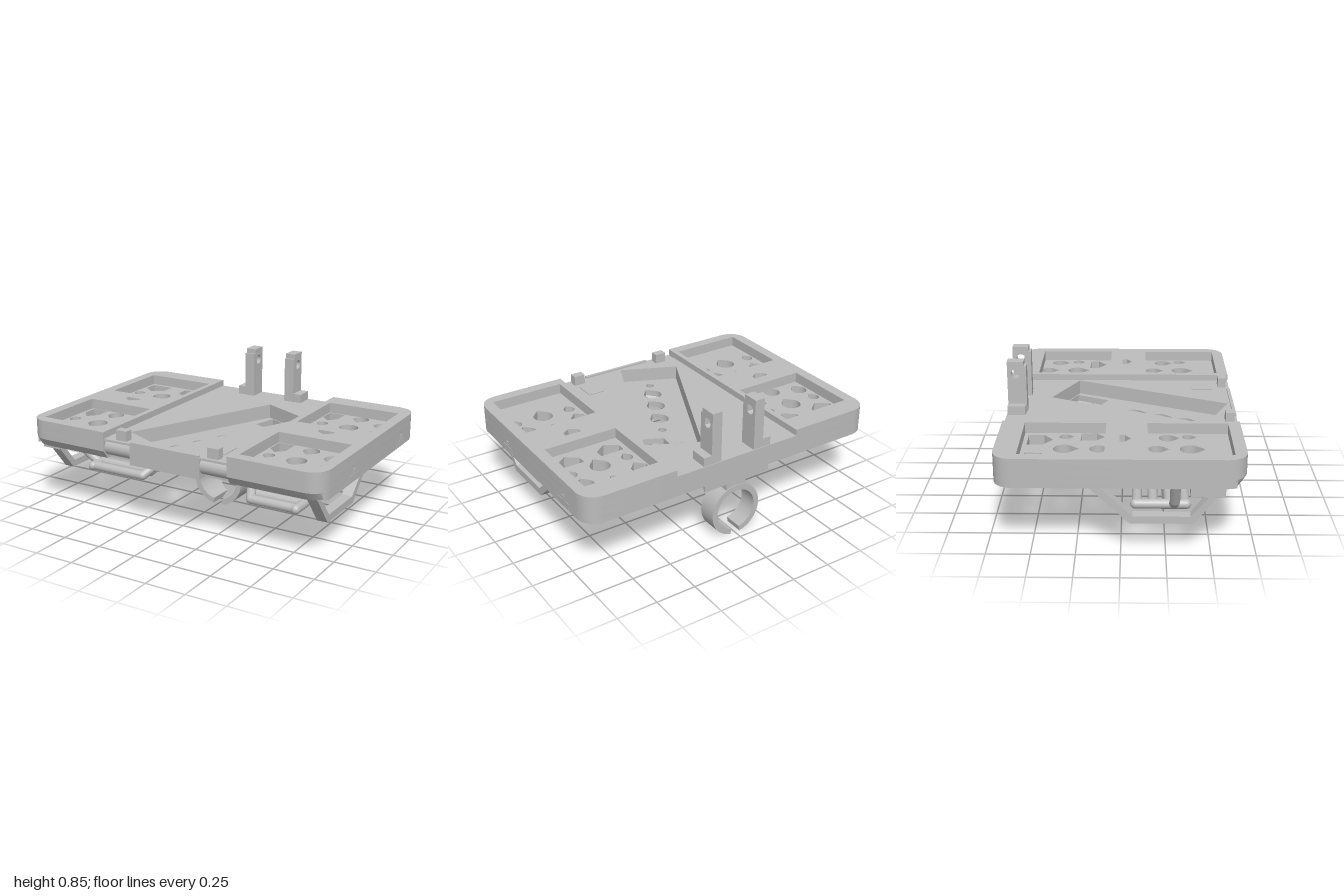
import * as THREE from 'three';
import { toCreasedNormals } from 'three/addons/utils/BufferGeometryUtils.js';

const grey = new THREE.MeshStandardMaterial({ color: 0xbcbcbc });
grey.name = 'plain grey';

export function createModel() {
  const root = new THREE.Group();

  const add = (name, geo) => {
    const m = new THREE.Mesh(geo, grey);
    m.name = name;
    root.add(m);
  };
  const box = (name, x0, x1, y0, y1, z0, z1) =>
    add(name, new THREE.BoxGeometry(x1 - x0, y1 - y0, z1 - z0)
      .translate((x0 + x1) / 2, (y0 + y1) / 2, (z0 + z1) / 2));

  // Plan outlines are given as (x, z) pairs
  const outline = (pts) => pts.map(([x, z]) => new THREE.Vector2(x, -z));
  const poly = (pts) => new THREE.Path(outline(pts));
  const rect = (x0, x1, z0, z1) => poly([[x0, z0], [x1, z0], [x1, z1], [x0, z1]]);
  const pentagon = (x0, x1, z0, z1, tip) =>
    poly([[x0, z0], [x1, z0], [x1, z1], [(x0 + x1) / 2, tip], [x0, z1]]);
  // Round hole with a pointed front
  const drop = (x, z, r) => {
    const pts = [[x, z + r * 1.42]];
    for (let i = 0; i <= 18; i++) {
      const a = Math.PI / 4 - (i / 18) * Math.PI * 1.5;
      pts.push([x + r * Math.cos(a), z + r * Math.sin(a)]);
    }
    return poly(pts);
  };
  // Flat layer with holes; the lower front edge can be cut back by chamfer
  const slab = (name, shape, holes, y0, y1, chamfer = 0) => {
    const pts = shape.getPoints(10);
    if (THREE.ShapeUtils.isClockWise(pts)) pts.reverse();
    const solid = new THREE.Shape(pts);
    solid.holes = holes;
    const g = new THREE.ExtrudeGeometry(solid, { depth: y1 - y0, bevelEnabled: false });
    g.rotateX(-Math.PI / 2).translate(0, y0, 0);
    const p = g.attributes.position;
    for (let i = 0; i < p.count; i++)
      if (p.getY(i) < y0 + 0.001 && p.getZ(i) > 0.64) p.setZ(i, p.getZ(i) - chamfer);
    g.computeVertexNormals();
    add(name, toCreasedNormals(g, 0.5));
  };

  // Side wings: pierced floor below, frame with two pockets above
  const wing = (s, inner) => {
    const c = 0.11;
    const sh = new THREE.Shape();
    sh.moveTo(s * inner, 0.70);
    sh.lineTo(s * (1 - c), 0.70);
    sh.quadraticCurveTo(s * 0.99, 0.69, s, 0.70 - c);
    sh.lineTo(s, -0.69 + c);
    sh.quadraticCurveTo(s * 0.99, -0.68, s * (1 - c), -0.69);
    sh.lineTo(s * inner, -0.69);
    return sh;
  };
  const slot = (s) => pentagon(s * 0.70 - 0.05, s * 0.70 + 0.05, -0.01, 0.02, 0.055);
  const common = (s) => [slot(s),
    drop(s * 0.70, -0.325, 0.06), drop(s * 0.52, -0.325, 0.035), drop(s * 0.885, -0.325, 0.035),
    drop(s * 0.70, 0.20, 0.05), drop(s * 0.70, 0.39, 0.06),
    drop(s * 0.52, 0.385, 0.035), drop(s * 0.885, 0.385, 0.035)];
  const leftHoles = [...common(1),
    pentagon(0.468, 0.57, -0.555, -0.45, -0.395), drop(0.70, -0.52, 0.05), drop(0.865, -0.455, 0.05),
    pentagon(0.49, 0.64, -0.235, -0.18, -0.125), pentagon(0.755, 0.90, -0.235, -0.18, -0.125),
    pentagon(0.468, 0.57, 0.155, 0.27, 0.32), drop(0.865, 0.265, 0.05)];
  const rightHoles = [...common(-1),
    pentagon(-0.91, -0.76, -0.54, -0.45, -0.395), pentagon(-0.64, -0.495, -0.54, -0.45, -0.395),
    drop(-0.87, -0.195, 0.05), drop(-0.70, -0.13, 0.05),
    pentagon(-0.575, -0.47, -0.235, -0.145, -0.095),
    pentagon(-0.91, -0.80, 0.155, 0.25, 0.31), drop(-0.535, 0.265, 0.05)];
  for (const [s, inner, name, holes] of [[1, 0.42, 'left', leftHoles], [-1, 0.43, 'right', rightHoles]]) {
    const a = s > 0 ? 0.46 : -0.93, b = s > 0 ? 0.93 : -0.465;
    slab(name + 'WingUnderside', wing(s, inner), holes, 0.405, 0.455, 0.035);
    slab(name + 'WingFloor', wing(s, inner), holes, 0.455, 0.51);
    slab(name + 'WingFrame', wing(s, inner),
      [rect(a, b, -0.565, -0.09), rect(a, b, 0.15, 0.62), slot(s)], 0.51, 0.575);
  }

  // Lower centre deck with the slanted pocket
  const deck = new THREE.Shape(outline([[-0.43, -0.70], [0.42, -0.70], [0.42, 0.63],
    [0.24, 0.63], [0.24, 0.69], [-0.24, 0.69], [-0.24, 0.63], [-0.43, 0.63]]));
  slab('centreFloor', deck, [
    poly([[0.115, -0.425], [0.375, -0.30], [0.277, -0.10], [0.16, -0.155], [0.165, -0.235], [0.07, -0.275]]),
    drop(0.11, -0.065, 0.025), drop(0.045, 0.07, 0.058), drop(-0.03, 0.23, 0.058),
    drop(-0.10, 0.38, 0.058), drop(-0.155, 0.50, 0.025)], 0.405, 0.445);
  slab('centreDeck', deck, [poly([[0.08, -0.45], [0.41, -0.29], [-0.02, 0.655], [-0.365, 0.50]])], 0.445, 0.535);
  box('deckPlate', 0.235, 0.34, 0.535, 0.54, 0.44, 0.575);
  box('frontLip', -0.235, 0.235, 0.535, 0.545, 0.67, 0.69);

  // Rounded front edges under thin covers, with catches, beside the middle block
  for (const s of [-1, 1]) {
    add('frontRoll', new THREE.CylinderGeometry(0.052, 0.052, 0.19, 20)
      .rotateZ(Math.PI / 2).translate(s * 0.33, 0.477, 0.635));
    box('frontCover', s * 0.33 - 0.095, s * 0.33 + 0.095, 0.522, 0.535, 0.62, 0.688);
    box('catch', s * 0.315 - 0.037, s * 0.315 + 0.037, 0.50, 0.597, 0.615, 0.667);
  }

  // Rear posts with a cross hole and a low shoulder
  for (const s of [-1, 1]) {
    const sh = new THREE.Shape([[0.58, 0.52], [0.695, 0.52], [0.695, 0.855], [0.595, 0.855],
      [0.595, 0.825], [0.58, 0.825]].map((p) => new THREE.Vector2(...p)));
    const hole = new THREE.Path();
    hole.moveTo(0.601, 0.778);
    hole.absarc(0.643, 0.778, 0.03, Math.PI * 0.75, -Math.PI * 0.75, true);
    sh.holes = [hole];
    const g = new THREE.ExtrudeGeometry(sh, { depth: 0.066, bevelEnabled: false });
    g.rotateY(Math.PI / 2).translate(s * 0.149 - 0.033, 0, 0);
    add('rearPost', toCreasedNormals(g, 0.5));
    box('postShoulder', s * 0.208 - 0.028, s * 0.208 + 0.028, 0.52, 0.59, -0.695, -0.585);
  }

  // Ring sections, symmetric about x = 0 and starting at angle a0; the rear cut may slant
  const ring = (name, a0, zFront, zBack) => {
    const a1 = Math.PI - a0;
    const sh = new THREE.Shape();
    sh.absarc(0, 0, 0.167, a0, a1, false);
    sh.absarc(0, 0, 0.132, a1, a0, true);
    const g = new THREE.ExtrudeGeometry(sh, { depth: 1, bevelEnabled: false, curveSegments: 40 });
    const p = g.attributes.position;
    for (let i = 0; i < p.count; i++) {
      const y = p.getY(i) + 0.165;
      p.setXYZ(i, p.getX(i), y, p.getZ(i) > 0.5 ? zFront : zBack(y));
    }
    g.computeVertexNormals();
    add(name, toCreasedNormals(g, 0.5));
  };
  const open = -Math.PI / 2 + 0.2;
  ring('rearRing', open, -0.577, () => -0.695);
  ring('frontSleeve', open, 0.09, (y) => -0.03 - 1.35 * y + 2.4 * y * y - 4.5 * y * y * y);
  ring('spineArch', 1.09, -0.1, () => -0.69);

  // Mounts joining rings and deck
  box('mountBlock', -0.13, 0.13, 0.31, 0.36, -0.16, 0.09);
  for (const s of [-1, 1]) box('mountFoot', s * 0.14 - 0.09, s * 0.14 + 0.09, 0.35, 0.41, -0.15, 0.035);
  box('spine', -0.07, 0.07, 0.31, 0.41, -0.69, -0.1);
  slab('rearGusset', new THREE.Shape(outline([[-0.23, -0.695], [0.23, -0.695], [0.07, -0.41], [-0.07, -0.41]])),
    [], 0.36, 0.41);

  // Bent rods made from straight runs with round joints
  const rod = (name, pts) => {
    const group = new THREE.Group(), r = 0.029;
    group.name = name;
    const v = pts.map((p) => new THREE.Vector3(...p));
    v.forEach((p, i) => {
      const joint = new THREE.Mesh(new THREE.SphereGeometry(r, 14, 10), grey);
      joint.position.copy(p);
      group.add(joint);
      if (!i) return;
      const d = p.clone().sub(v[i - 1]);
      const run = new THREE.Mesh(new THREE.CylinderGeometry(r, r, d.length(), 14, 1, true), grey);
      run.position.copy(p).addScaledVector(d, -0.5);
      run.quaternion.setFromUnitVectors(new THREE.Vector3(0, 1, 0), d.normalize());
      group.add(run);
    });
    root.add(group);
  };
  for (const s of [-1, 1]) {
    // Finger-like cradle rods, joined at the outer end
    const x = s > 0 ? 0.69 : 0.77;
    for (let i = 0; i < 4; i++) {
      const z = 0.36 - i * 0.09;
      rod('cradleRod', [[s * 0.12, 0.335, z - 0.25], [s * 0.29, 0.32, z - 0.2],
        [s * 0.39, 0.205, z], [s * x, 0.205, z]]);
    }
    rod('cradleRail', [[s * x, 0.205, 0.37], [s * x, 0.205, 0.08]]);

    // Flat bar bent into a loop under each outer edge
    const bar = new THREE.Shape([[-0.58, 0.41], [-0.40, 0.182], [-0.05, 0.182], [0.19, 0.41],
      [0.13, 0.41], [-0.065, 0.225], [-0.385, 0.225], [-0.535, 0.41]].map((p) => new THREE.Vector2(...p)));
    add('sideLoop', new THREE.ExtrudeGeometry(bar, { depth: 0.066, bevelEnabled: false })
      .rotateY(Math.PI / 2).translate((s > 0 ? 0.875 : -0.94) - 0.033, 0, 0));
  }
  rod('leftBrace', [[0.42, 0.41, -0.17], [0.52, 0.205, 0.06]]);
  rod('leftOuterBrace', [[0.69, 0.205, 0.08], [0.74, 0.40, -0.15]]);
  rod('rightBrace', [[-0.77, 0.205, 0.30], [-0.89, 0.28, 0.30], [-0.95, 0.40, 0.30]]);

  // Small parts on the underside and left edge
  box('cornerBlock', -1, -0.87, 0.355, 0.41, 0.38, 0.57);
  for (const z of [0.27, -0.44]) {
    box('edgeClip', 0.96, 1.002, 0.41, 0.45, z - 0.06, z + 0.06);
    add('edgeBolt', new THREE.CylinderGeometry(0.043, 0.043, 0.025, 6)
      .rotateY(Math.PI / 6).translate(0.965, 0.47, z));
  }
  return root;
}
